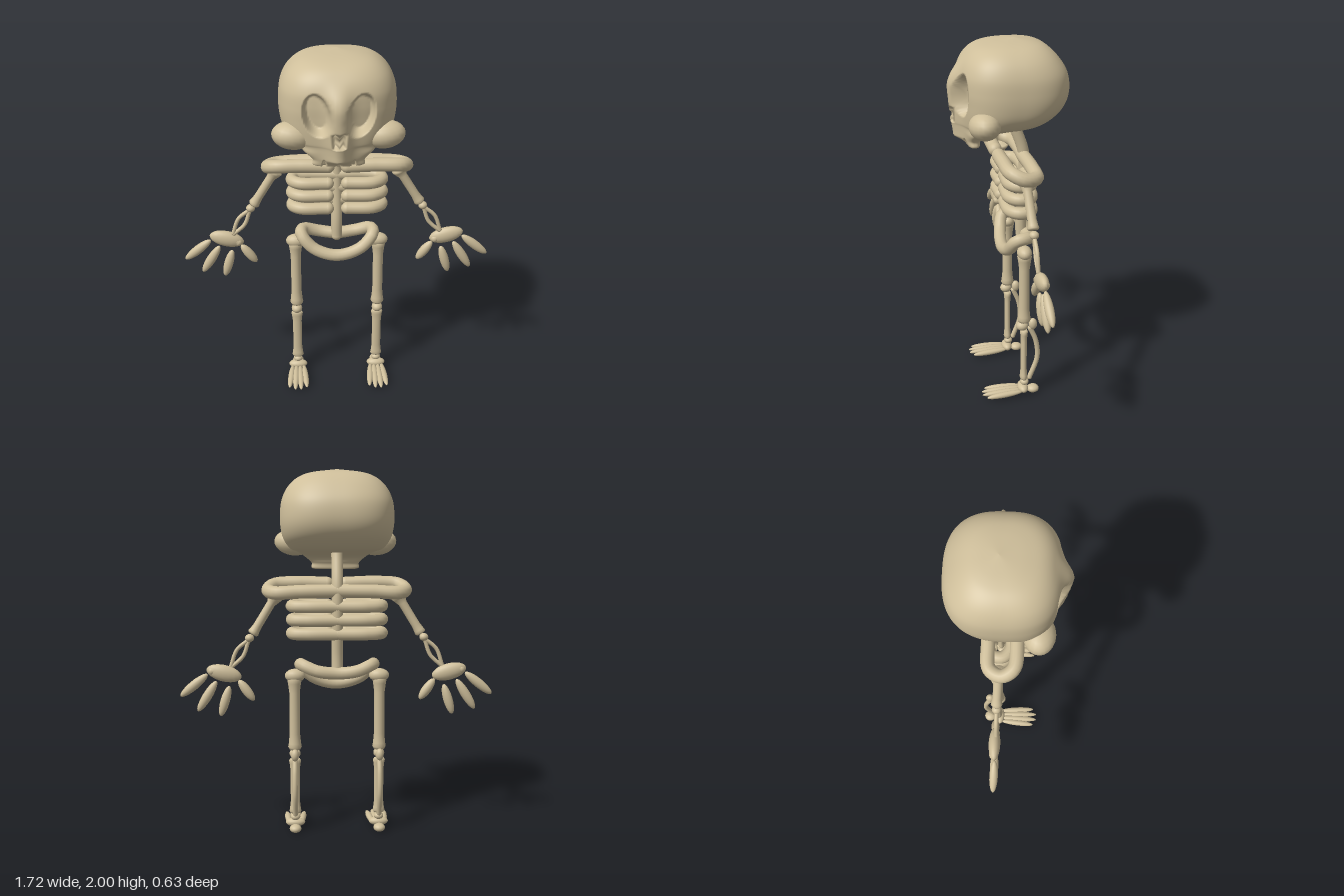
import * as THREE from 'three';

const bone = new THREE.MeshStandardMaterial({ color: 0xcfbf9b });
const V = (x, y, z) => new THREE.Vector3(x, y, z);
const UP = V(0, 1, 0);

function add(parent, name, geometry) {
  const mesh = new THREE.Mesh(geometry, bone);
  mesh.name = name;
  parent.add(mesh);
  return mesh;
}

function blob(parent, name, pos, radii, tilt = 0) {
  const m = add(parent, name, new THREE.SphereGeometry(1, 20, 12));
  m.position.copy(pos);
  m.scale.set(...radii);
  m.rotation.z = tilt;
  return m;
}

// Ellipsoid stretched between two points (fingers and toes)
function digit(parent, name, a, b, r) {
  const m = blob(parent, name, a.clone().lerp(b, 0.5), [r, a.distanceTo(b) / 2, r * 0.9]);
  m.quaternion.setFromUnitVectors(UP, b.clone().sub(a).normalize());
}

// Round tube along a smooth path, with rounded ends when open
function tube(parent, name, pts, r, closed = false) {
  const curve = new THREE.CatmullRomCurve3(pts, closed);
  const group = new THREE.Group();
  group.name = name;
  parent.add(group);
  add(group, name + 'Bar', new THREE.TubeGeometry(curve, 44, r, 14, closed));
  if (!closed) for (const p of [pts[0], pts[pts.length - 1]]) blob(group, name + 'End', p, [r, r, r]);
}

// Long bone: slim shaft with wider ends
function longBone(parent, name, a, b, shaft, endA, endB) {
  const len = a.distanceTo(b);
  const profile = [[0, 0], [endA * 0.8, 0.005], [endA, 0.04], [endA * 0.9, 0.09], [shaft, 0.22], [shaft, 0.78],
    [endB * 0.9, 0.91], [endB, 0.96], [endB * 0.8, 0.995], [0, 1]].map(([r, t]) => new THREE.Vector2(r, t * len));
  const m = add(parent, name, new THREE.LatheGeometry(profile, 20));
  m.position.copy(a);
  m.quaternion.setFromUnitVectors(UP, b.clone().sub(a).normalize());
  return m;
}

// Skull: stacked rounded-square rings, with the face pushed in and out
function skullGeometry() {
  // height, half width, front z, back z
  const keys = [[1.455, 0, 0.2, 0.2], [1.455, 0.125, 0.225, 0.16], [1.49, 0.135, 0.235, 0.15],
    [1.53, 0.18, 0.24, 0.11], [1.56, 0.22, 0.245, -0.06], [1.58, 0.255, 0.25, -0.18],
    [1.63, 0.288, 0.255, -0.255], [1.69, 0.303, 0.26, -0.298], [1.76, 0.306, 0.265, -0.313],
    [1.84, 0.296, 0.26, -0.3], [1.91, 0.262, 0.23, -0.255], [1.96, 0.205, 0.175, -0.2],
    [1.985, 0.13, 0.09, -0.14], [2, 0, -0.04, -0.04]];
  const size = new THREE.CatmullRomCurve3(keys.map(k => V(k[0], k[1], 0)), false, 'catmullrom');
  const depth = new THREE.CatmullRomCurve3(keys.map(k => V(k[2], k[3], 0)), false, 'catmullrom');
  const rows = 117, cols = 216, pos = [], idx = [];
  const power = (v) => Math.sign(v) * Math.abs(v) ** 0.74;
  const step = THREE.MathUtils.smoothstep;
  const pit = (x, y, cx, cy, rx, ry) => 1 - step(Math.hypot((x - cx) / rx, (y - cy) / ry), 0.8, 1.1);
  for (let j = 0; j <= rows; j++) {
    const { x: y, y: w } = size.getPoint(j / rows);
    const { x: zf, y: zb } = depth.getPoint(j / rows);
    for (let i = 0; i < cols; i++) {
      const a = (i / cols) * Math.PI * 2, s = Math.sin(a);
      const x = w * power(Math.cos(a));
      let z = (zf + zb) / 2 + ((zf - zb) / 2) * power(s);
      if (s > 0) {
        const ax = Math.abs(x), front = step(s, 0.3, 0.7);
        // Central ridge from the brow to the muzzle
        const fade = step(y, 1.46, 1.5) * (1 - step(y, 1.76, 1.93));
        z += 0.052 * fade * front * Math.exp(-((x / 0.06) ** 2));
        // Eye sockets, nostrils and tooth gaps
        z -= 0.075 * pit(ax, y, 0.11 + (y - 1.735) * 0.12, 1.735, 0.067, 0.105);
        z -= 0.05 * front * pit(ax, y, 0.014, 1.615, 0.014, 0.045);
        if (y < 1.5) z -= 0.022 * front * (pit(ax, y, 0.075, 1.455, 0.012, 0.04) + pit(ax, y, 0, 1.455, 0.01, 0.04));
      }
      pos.push(x, y, z);
      if (j < rows) {
        const p = j * cols + i, q = j * cols + ((i + 1) % cols);
        idx.push(p, p + cols, q, q, p + cols, q + cols);
      }
    }
  }
  const g = new THREE.BufferGeometry();
  g.setAttribute('position', new THREE.Float32BufferAttribute(pos, 3));
  g.setIndex(idx);
  g.computeVertexNormals();
  return g;
}

function arm(parent, s) {
  const P = (x, y, z = -0.045) => V(s * x, y, z);
  longBone(parent, 'upperArm', P(0.33, 1.33, -0.035), P(0.462, 1.115), 0.024, 0.042, 0.031);
  blob(parent, 'elbow', P(0.478, 1.095), [0.025, 0.022, 0.025]);
  tube(parent, 'outerForearm', [P(0.488, 1.082), P(0.548, 1.03), P(0.582, 0.94)], 0.011);
  tube(parent, 'innerForearm', [P(0.485, 1.075), P(0.515, 0.995), P(0.578, 0.935)], 0.011);
  // Hand
  tube(parent, 'palm', [P(0.555, 0.882, -0.05), P(0.595, 0.91, -0.052), P(0.645, 0.92, -0.055), P(0.685, 0.915, -0.055)], 0.024);
  blob(parent, 'palmCentre', P(0.62, 0.902, -0.053), [0.098, 0.046, 0.032], s * 0.25);
  const fingers = [[0.54, 0.862, 0.457, 0.748], [0.592, 0.83, 0.642, 0.662],
    [0.662, 0.858, 0.767, 0.69], [0.71, 0.897, 0.86, 0.775]];
  for (const [x0, y0, x1, y1] of fingers) digit(parent, 'finger', P(x0, y0, -0.05), P(x1, y1, -0.055), 0.026);
}

function leg(parent, s) {
  const P = (x, y, z = -0.05) => V(s * x, y, z);
  blob(parent, 'hipJoint', P(0.232, 0.885), [0.056, 0.038, 0.04]);
  longBone(parent, 'thigh', P(0.235, 0.465), P(0.235, 0.88), 0.029, 0.038, 0.04);
  blob(parent, 'knee', P(0.235, 0.44, -0.04), [0.031, 0.028, 0.034]);
  blob(parent, 'kneeBack', P(0.235, 0.445, -0.1), [0.022, 0.034, 0.025]);
  const shin = longBone(parent, 'shin', P(0.235, 0.095), P(0.235, 0.415), 0.026, 0.034, 0.034);
  shin.scale.z = 0.65;
  tube(parent, 'calfBone', [P(0.235, 0.42, -0.085), P(0.235, 0.34, -0.118), P(0.235, 0.23, -0.128), P(0.235, 0.1, -0.085)], 0.014);
  blob(parent, 'ankle', P(0.235, 0.075, -0.055), [0.027, 0.02, 0.025]);
  // Foot
  blob(parent, 'instep', P(0.235, 0.04, -0.045), [0.055, 0.025, 0.03]);
  blob(parent, 'heel', P(0.235, 0.023, -0.105), [0.033, 0.023, 0.035]);
  for (let i = 0; i < 4; i++) {
    const k = i - 1.5, tip = 0.2 - 0.02 * Math.abs(k);
    digit(parent, 'toe', P(0.235 + k * 0.022, 0.03, -0.04), P(0.235 + k * 0.034, 0.022, tip), 0.018);
  }
}

// Half loop from the spine around the side to a free front end
const halfLoop = (s, pts) => pts.map(([x, y, z]) => V(s * x, y, z));

export function createModel() {
  const model = new THREE.Group();
  model.name = 'skeleton';

  const head = new THREE.Group();
  head.name = 'head';
  model.add(head);
  add(head, 'skull', skullGeometry());
  for (const s of [-1, 1]) blob(head, 'cheekbone', V(s * 0.235, 1.603, 0.16), [0.108, 0.072, 0.082], s * 0.12);

  tube(model, 'spine', [V(0, 1.62, -0.01), V(0, 1.54, -0.035), V(0, 1.38, -0.09), V(0, 1.2, -0.095),
    V(0, 1, -0.078), V(0, 0.9, -0.08)], 0.031);

  // Pelvis ring, high at the back and low at the front
  const half = [[0.11, 0.918, -0.105], [0.19, 0.948, -0.075], [0.2, 0.94, -0.015], [0.13, 0.865, 0.015]];
  tube(model, 'pelvis', [V(0, 0.905, -0.1), ...halfLoop(1, half), V(0, 0.828, 0.028),
    ...halfLoop(-1, half).reverse()], 0.034, true);

  for (const [side, s] of [['left', 1], ['right', -1]]) {
    const group = new THREE.Group();
    group.name = side + 'Side';
    model.add(group);
    tube(group, 'shoulderLoop', halfLoop(s, [[0, 1.355, -0.09], [0.2, 1.352, -0.095], [0.335, 1.345, -0.085],
      [0.375, 1.355, -0.02], [0.34, 1.38, 0.042], [0.2, 1.388, 0.055], [0.052, 1.383, 0.055]]), 0.037);
    for (const y of [1.27, 1.195, 1.12]) {
      tube(group, 'rib', halfLoop(s, [[0, y, -0.098], [0.16, y, -0.1], [0.235, y, -0.075],
        [0.245, y, -0.02], [0.2, y, 0.022], [0.052, y, 0.026]]), 0.033);
    }
    arm(group, s);
    leg(group, s);
  }
  return model;
}
